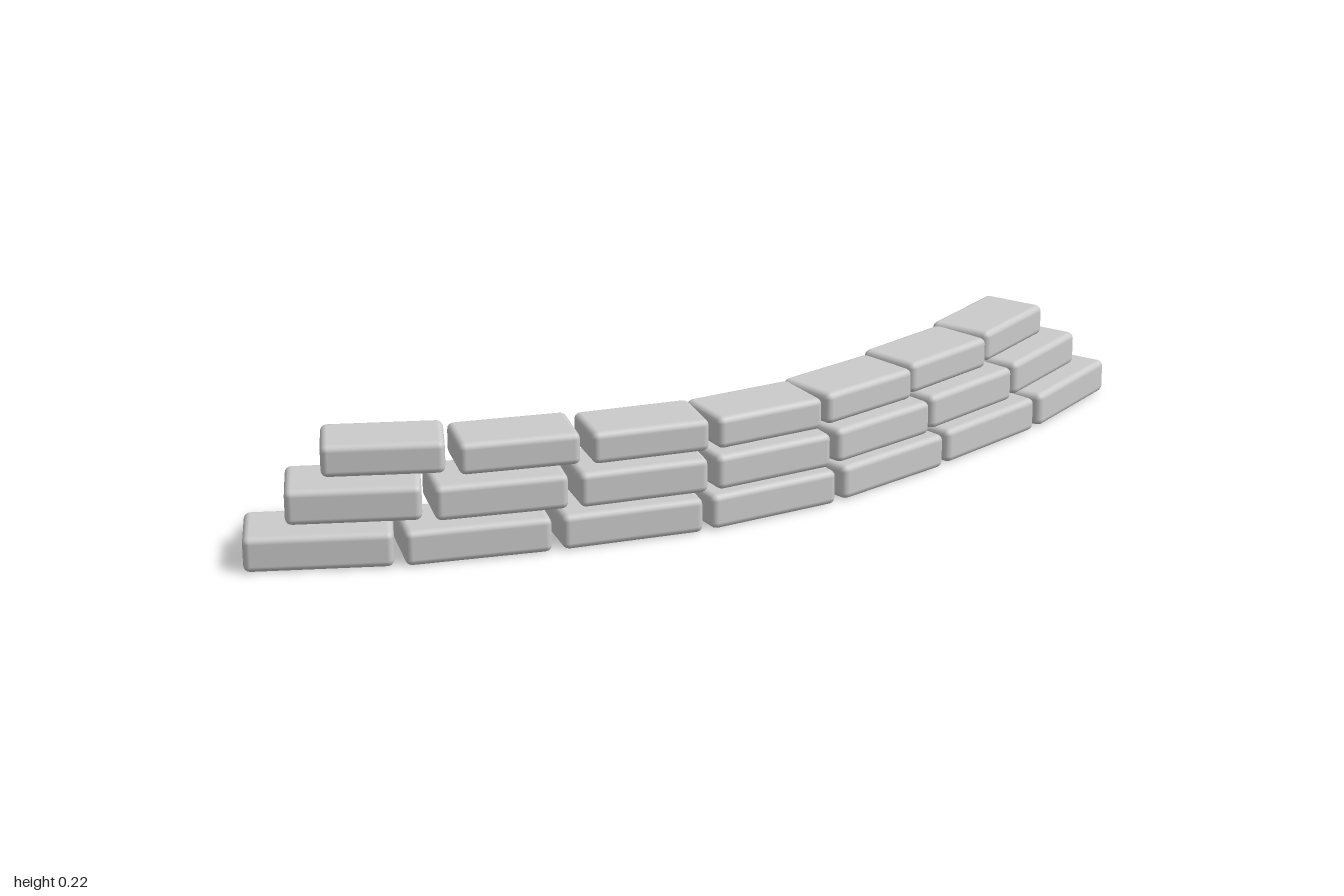
import * as THREE from 'three';
import { RoundedBoxGeometry } from 'three/addons/geometries/RoundedBoxGeometry.js';

// Brick stations along the bowed course: x, z, turn in degrees
const STATIONS = [
  [-0.845, -0.06, -24],
  [-0.572, 0.04, -15],
  [-0.282, 0.106, -11],
  [0.003, 0.131, 0],
  [0.288, 0.097, 12],
  [0.572, 0.02, 16],
  [0.842, -0.082, 25.5],
];

// Courses from bottom to top, each a little shorter than the one below
const COURSES = [
  { name: 'bottomCourse', y: 0.036, height: 0.07, depth: 0.148, scale: 1, z: 0 },
  { name: 'middleCourse', y: 0.115, height: 0.07, depth: 0.148, scale: 0.912, z: 0 },
  { name: 'topCourse', y: 0.189, height: 0.064, depth: 0.136, scale: 0.832, z: -0.009 },
];

const BRICK_LENGTH = 0.281;
const EDGE_RADIUS = 0.013;

export function createModel() {
  const model = new THREE.Group();
  model.name = 'curvedBrickWall';
  const material = new THREE.MeshStandardMaterial({ color: 0xcccccc });

  for (const { name, y, height, depth, scale, z } of COURSES) {
    const course = new THREE.Group();
    course.name = name;
    course.position.set(0, y, z);

    // One soft-edged brick shared by the whole course
    const geometry = new RoundedBoxGeometry(BRICK_LENGTH * scale, height, depth, 2, EDGE_RADIUS);
    STATIONS.forEach(([bx, bz, turn], i) => {
      const brick = new THREE.Mesh(geometry, material);
      brick.name = `brick${i + 1}`;
      brick.position.set(bx * scale, 0, bz);
      brick.rotation.y = THREE.MathUtils.degToRad(turn);
      course.add(brick);
    });
    model.add(course);
  }
  return model;
}
